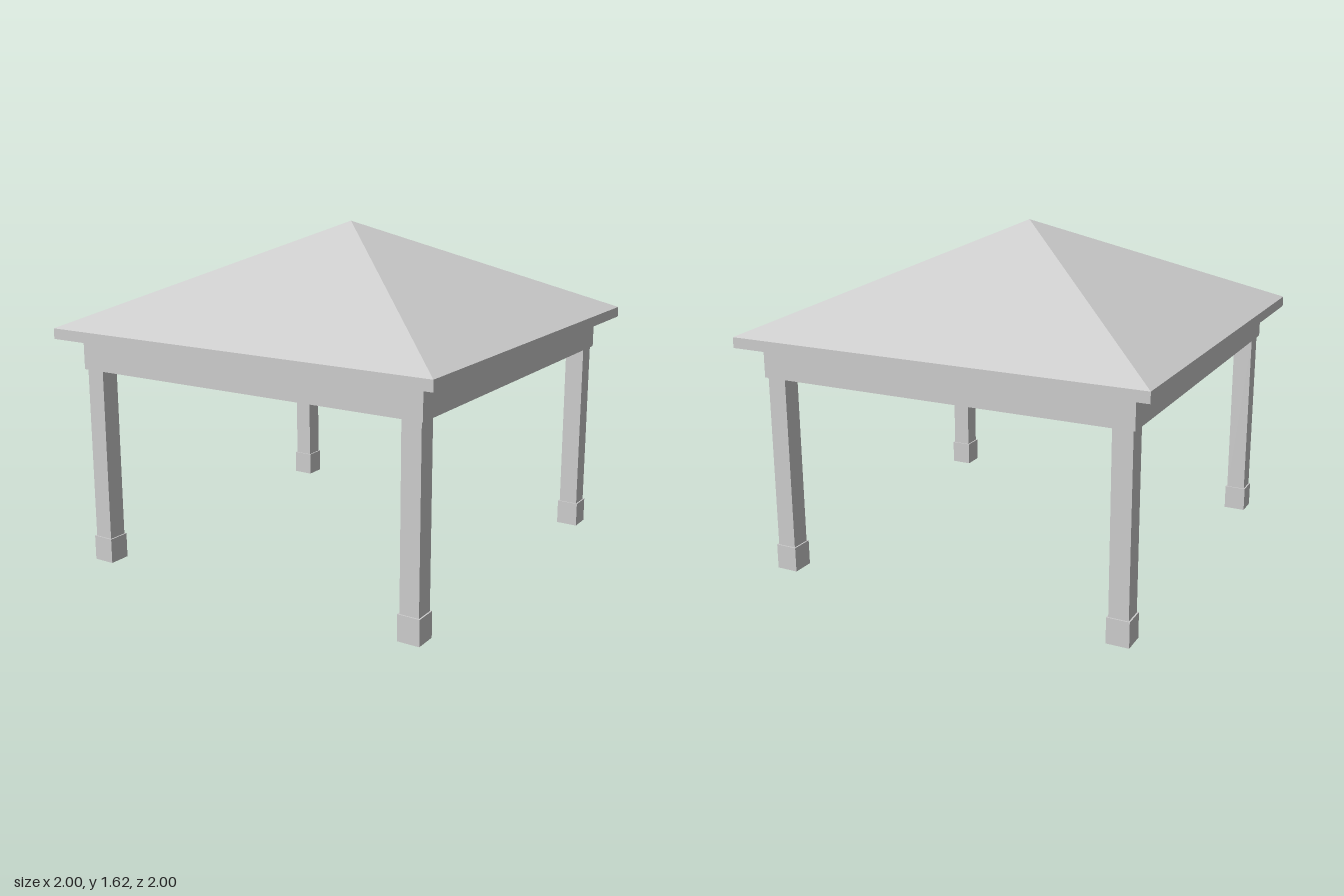
import * as THREE from 'three';

export function createModel() {
  const model = new THREE.Group();
  model.name = 'pavilion';
  const material = new THREE.MeshStandardMaterial({ color: 0xcccccc, flatShading: true });

  const add = (parent, name, geometry, x, y, z) => {
    const mesh = new THREE.Mesh(geometry, material);
    mesh.name = name;
    mesh.position.set(x, y, z);
    parent.add(mesh);
  };
  // Square block between two heights
  const block = (parent, name, width, bottom, top) =>
    add(parent, name, new THREE.BoxGeometry(width, top - bottom, width), 0, (bottom + top) / 2, 0);

  // Four corner posts, each on a slightly wider foot
  const corners = { frontLeft: [1, 1], frontRight: [-1, 1], backLeft: [1, -1], backRight: [-1, -1] };
  for (const [corner, [sx, sz]] of Object.entries(corners)) {
    const post = new THREE.Group();
    post.name = corner + 'Post';
    post.position.set(sx * 0.85, 0, sz * 0.85);
    block(post, 'foot', 0.106, 0, 0.12);
    block(post, 'shaft', 0.092, 0.12, 0.95);
    model.add(post);
  }

  // Ceiling slab and overhanging eaves
  block(model, 'ceilingBeam', 1.814, 0.95, 1.1);
  block(model, 'eaves', 2, 1.1, 1.15);

  // Pyramid roof
  const roofHeight = 0.47;
  const roof = new THREE.ConeGeometry(Math.SQRT2, roofHeight, 4, 1, true, Math.PI / 4);
  add(model, 'roof', roof, 0, 1.15 + roofHeight / 2, 0);

  return model;
}
